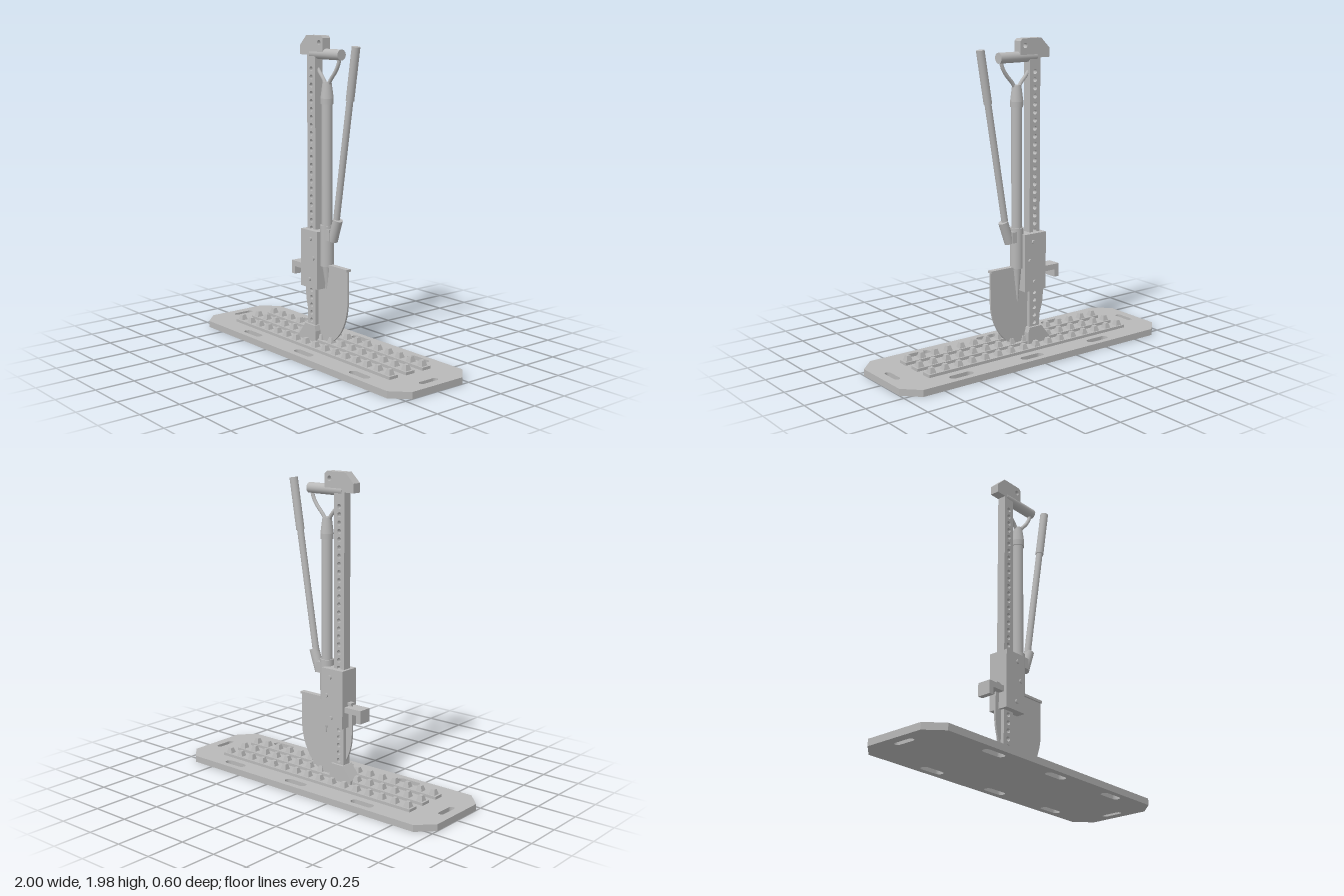
import * as THREE from 'three';

export function createModel() {
  const model = new THREE.Group();
  const grey = new THREE.MeshStandardMaterial({ color: 0xb8b8b8 });
  grey.name = 'plain grey';

  const add = (name, geometry, parent = model) => {
    const mesh = new THREE.Mesh(geometry, grey);
    mesh.name = name;
    parent.add(mesh);
    return mesh;
  };
  const group = (name) => {
    const g = new THREE.Group();
    g.name = name;
    model.add(g);
    return g;
  };
  // box given by its limits on each axis
  const box = (name, x0, x1, y0, y1, z0, z1, parent) => {
    const m = add(name, new THREE.BoxGeometry(x1 - x0, y1 - y0, z1 - z0), parent);
    m.position.set((x0 + x1) / 2, (y0 + y1) / 2, (z0 + z1) / 2);
    return m;
  };
  // cylinder or cone between two points
  const rod = (name, a, b, rA, rB, parent, sides = 24) => {
    const start = new THREE.Vector3(...a), end = new THREE.Vector3(...b);
    const dir = end.clone().sub(start);
    const m = add(name, new THREE.CylinderGeometry(rB, rA, dir.length(), sides), parent);
    m.position.copy(start).add(end).multiplyScalar(0.5);
    m.quaternion.setFromUnitVectors(new THREE.Vector3(0, 1, 0), dir.normalize());
    return m;
  };
  const polygon = (pts) => new THREE.Shape(pts.map(([x, y]) => new THREE.Vector2(x, y)));
  const roundHole = (x, y, r) => new THREE.Path().absarc(x, y, r, 0, Math.PI * 2, true);
  const slab = (shape, depth, curveSegments = 8) =>
    new THREE.ExtrudeGeometry(shape, { depth, bevelEnabled: false, curveSegments })
      .translate(0, 0, -depth / 2);
  // rounded slot of full length and width
  const slot = (x, y, length, width, vertical) => {
    const r = width / 2, h = length / 2 - r, p = new THREE.Path();
    if (vertical) {
      p.absarc(x, y + h, r, 0, Math.PI, false);
      p.absarc(x, y - h, r, Math.PI, Math.PI * 2, false);
    } else {
      p.absarc(x + h, y, r, -Math.PI / 2, Math.PI / 2, false);
      p.absarc(x - h, y, r, Math.PI / 2, Math.PI * 1.5, false);
    }
    p.closePath();
    return p;
  };

  // ---- traction board ----
  const board = group('tractionBoard');
  const outline = polygon([[-1, -0.2], [-0.9, -0.3], [0.9, -0.3], [1, -0.2],
    [1, 0.2], [0.9, 0.3], [-0.9, 0.3], [-1, 0.2]]);
  for (const s of [-1, 1]) {
    for (const x of [-0.475, 0.06, 0.59]) outline.holes.push(slot(x, s * 0.235, 0.165, 0.052, false));
    outline.holes.push(slot(s * 0.923, 0, 0.14, 0.038, true));
  }
  const plate = add('boardPlate', slab(outline, 0.042), board);
  plate.rotation.x = -Math.PI / 2;
  plate.position.y = 0.021;

  // raised strips, each with a row of tapered studs
  const stud = new THREE.CylinderGeometry(0.012 * Math.SQRT2, 0.022 * Math.SQRT2, 0.034, 4).toNonIndexed();
  stud.rotateY(Math.PI / 4);
  stud.computeVertexNormals();
  for (const z of [-0.13, 0, 0.13]) {
    box('gripStrip', -0.775, 0.77, 0.042, 0.06, z - 0.033, z + 0.033, board);
    for (let i = 0; i < 16; i++) {
      add('gripStud', stud, board).position.set(-0.74 + i * 0.0983, 0.076, z);
    }
  }

  // ---- lifting jack ----
  const jack = group('liftingJack');
  const bar = polygon([[-0.16, 0.08], [-0.08, 0.08], [-0.08, 1.87], [-0.16, 1.87]]);
  for (let i = 0; i < 33; i++) bar.holes.push(roundHole(-0.12, 0.175 + i * 0.05, 0.015));
  add('jackBar', slab(bar, 0.058, 6), jack);

  const foot = polygon([[-0.232, 0.042], [-0.06, 0.042], [-0.06, 0.115], [-0.07, 0.15],
    [-0.166, 0.15], [-0.232, 0.065]]);
  add('jackFoot', slab(foot, 0.09), jack);

  const head = polygon([[-0.23, 1.86], [-0.007, 1.86], [-0.007, 1.965], [-0.022, 1.98],
    [-0.166, 1.98], [-0.23, 1.917]]);
  head.holes.push(roundHole(-0.043, 1.937, 0.016));
  add('jackHead', slab(head, 0.06), jack);

  box('carriage', -0.18, -0.015, 0.4, 0.77, -0.067, 0.067, jack);
  for (const [x, y] of [[-0.08, 0.717], [-0.053, 0.597], [-0.09, 0.457]]) {
    rod('carriageBolt', [x, y, -0.078], [x, y, 0.078], 0.013, 0.013, jack, 12);
  }
  const nose = polygon([[-0.305, 0.453], [-0.27, 0.453], [-0.27, 0.502], [-0.18, 0.502],
    [-0.18, 0.538], [-0.305, 0.538]]);
  add('liftingNose', slab(nose, 0.09), jack);

  // pumping handle leaning outward from its socket
  box('handleLug', -0.02, 0.06, 0.72, 0.79, -0.035, 0.035, jack);
  rod('handleSocket', [0.058, 0.72, 0], [0.106, 0.858, 0], 0.031, 0.031, jack);
  rod('handleRod', [0.083, 0.8, 0], [0.22, 1.62, 0], 0.021, 0.021, jack);
  rod('handleGrip', [0.217, 1.6, 0], [0.271, 1.922, 0], 0.026, 0.026, jack);

  // ---- shovel ----
  const shovel = group('shovel');
  const blade = new THREE.Shape();
  blade.moveTo(-0.207, 0.56);
  blade.lineTo(-0.207, 0.36);
  blade.bezierCurveTo(-0.207, 0.22, -0.13, 0.08, 0, 0.045);
  blade.bezierCurveTo(0.13, 0.08, 0.207, 0.22, 0.207, 0.36);
  blade.lineTo(0.207, 0.56);
  add('shovelBlade', slab(blade, 0.012, 16), shovel);
  for (const s of [-1, 1]) {
    const a = s * 0.03, b = s * 0.209;
    box('footRest', Math.min(a, b), Math.max(a, b), 0.547, 0.562, -0.018, 0.018, shovel);
  }
  rod('bladeRib', [0, 0.33, -0.008], [0, 0.56, 0], 0.003, 0.032, shovel);
  rod('shaftSocket', [0, 0.55, 0], [0, 0.81, 0], 0.043, 0.043, shovel);
  rod('shovelShaft', [0, 0.78, 0], [0, 1.6, 0], 0.034, 0.034, shovel);
  const collar = [[0, 1.565], [0.04, 1.565], [0.041, 1.6], [0.028, 1.7], [0, 1.7]];
  // separate cone sections keep the collar edges sharp
  for (let i = 1; i < 3; i++) {
    rod('shaftCollar', [0, collar[i][1], 0], [0, collar[i + 1][1], 0],
      collar[i][0], collar[i + 1][0], shovel);
  }

  // forked yoke carrying the cross grip
  for (const s of [-1, 1]) {
    const curve = new THREE.CatmullRomCurve3([[0.012, 1.68], [0.035, 1.715], [0.08, 1.765],
      [0.108, 1.81], [0.122, 1.86]].map(([x, y]) => new THREE.Vector3(s * x, y, 0)));
    add('yokeArm', new THREE.TubeGeometry(curve, 16, 0.012, 10), shovel);
  }
  rod('crossGrip', [-0.138, 1.868, 0], [0.138, 1.868, 0], 0.033, 0.033, shovel);

  return model;
}
